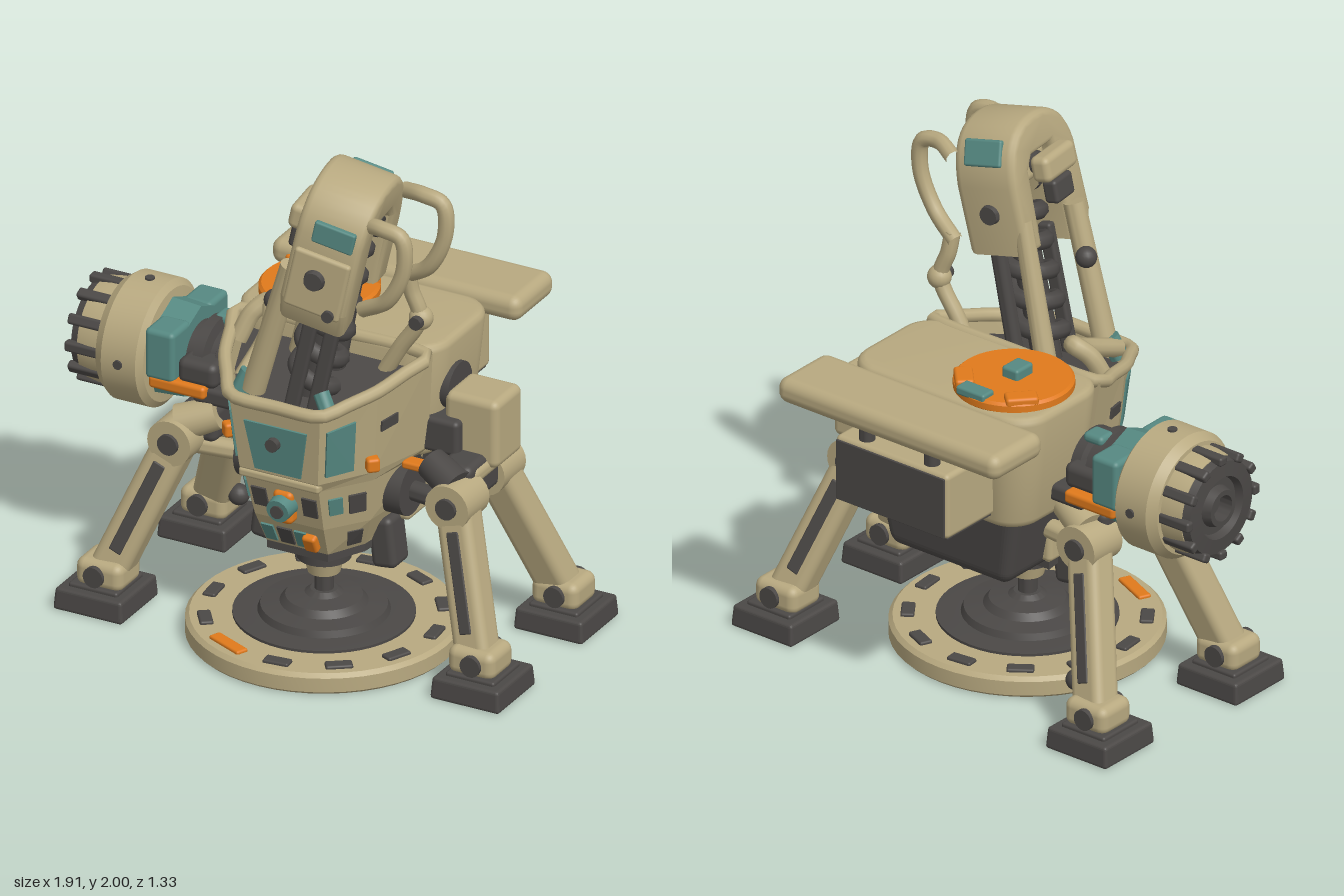
import * as THREE from 'three';
import { toCreasedNormals } from 'three/addons/utils/BufferGeometryUtils.js';
import { RoundedBoxGeometry } from 'three/addons/geometries/RoundedBoxGeometry.js';
import { ConvexGeometry } from 'three/addons/geometries/ConvexGeometry.js';

const V = (x, y, z) => new THREE.Vector3(x, y, z);
const material = (name, color, side = THREE.FrontSide) => {
  const m = new THREE.MeshStandardMaterial({ color, side });
  m.name = name;
  return m;
};

export function createModel() {
  const cream = material('cream', 0xb8a980), dark = material('charcoal', 0x4b4846);
  const teal = material('teal', 0x568982), orange = material('orange', 0xe07a1c);
  const shell = material('cream shell', 0xb8a980, THREE.DoubleSide);
  const root = new THREE.Group();
  root.name = 'walkingMachine';

  // Helpers
  const add = (name, geo, mat, parent = root) => {
    const m = new THREE.Mesh(geo, mat);
    m.name = name;
    parent.add(m);
    return m;
  };
  const box = (name, mat, p, s, r = 0.02, parent = root) => {
    const m = add(name, new RoundedBoxGeometry(...s, 3, Math.min(r, Math.min(...s) * 0.45)), mat, parent);
    m.position.set(...p);
    return m;
  };
  const rod = (name, mat, a, b, r0, r1 = r0, parent = root, seg = 24) => {
    const A = V(...a), d = V(...b).sub(A);
    const geo = toCreasedNormals(new THREE.CylinderGeometry(r1, r0, d.length(), seg), 0.6);
    const m = add(name, geo, mat, parent);
    m.position.copy(A).addScaledVector(d, 0.5);
    m.quaternion.setFromUnitVectors(V(0, 1, 0), d.normalize());
    return m;
  };
  const ball = (name, mat, p, r, parent = root) => {
    add(name, new THREE.SphereGeometry(r, 18, 12), mat, parent).position.set(...p);
  };
  const tube = (name, mat, pts, r, parent = root, closed = false) => add(name,
    new THREE.TubeGeometry(new THREE.CatmullRomCurve3(pts.map(p => V(...p)), closed, 'centripetal'), 48, r, 10, closed), mat, parent);
  const lathe = (name, mat, profile, parent = root) => add(name,
    toCreasedNormals(new THREE.LatheGeometry(profile.map(p => new THREE.Vector2(...p)), 48), 0.5), mat, parent);
  // Narrows a geometry towards its bottom, by kx and kz
  const taper = (geo, h, kx, kz) => {
    const p = geo.attributes.position;
    for (let i = 0; i < p.count; i++) {
      const t = 0.5 - p.getY(i) / h;
      p.setX(i, p.getX(i) * (1 - (1 - kx) * t));
      p.setZ(i, p.getZ(i) * (1 - (1 - kz) * t));
    }
    geo.computeVertexNormals();
    return geo;
  };
  // Upright block with rounded plan corners and a small bevel
  const roundedBlock = (w, h, d, r, bevel) => {
    const x = w / 2 - bevel, y = d / 2 - bevel, s = new THREE.Shape();
    s.absarc(x - r, y - r, r, 0, Math.PI / 2);
    s.absarc(r - x, y - r, r, Math.PI / 2, Math.PI);
    s.absarc(r - x, r - y, r, Math.PI, Math.PI * 1.5);
    s.absarc(x - r, r - y, r, Math.PI * 1.5, Math.PI * 2);
    return new THREE.ExtrudeGeometry(s, { depth: h - 2 * bevel, bevelSize: bevel, bevelThickness: bevel, bevelSegments: 3, curveSegments: 8 })
      .rotateX(-Math.PI / 2).translate(0, bevel - h / 2, 0);
  };

  // Round base plate with stepped hub and inlays
  const base = new THREE.Group();
  base.name = 'basePlate';
  base.position.set(0.09, 0, 0.16);
  root.add(base);
  lathe('disc', cream, [[0, 0], [0.49, 0], [0.5, 0.01], [0.5, 0.065], [0.485, 0.08], [0, 0.08]], base);
  lathe('hub', dark, [[0.33, 0.078], [0.33, 0.09], [0.27, 0.095], [0.24, 0.095], [0.23, 0.12], [0.16, 0.13],
    [0.14, 0.155], [0.07, 0.165], [0.05, 0.18], [0, 0.18]], base);
  for (let i = 0; i < 12; i++) {
    const a = i * Math.PI / 6 + 0.1;
    const plate = box('inlay', i === 11 ? orange : dark, [0.43 * Math.sin(a), 0.082, 0.43 * Math.cos(a)],
      [i === 11 ? 0.17 : 0.1, 0.02, 0.05], 0.008, base);
    plate.rotation.y = a;
  }
  rod('pivotPost', dark, [0, 0.16, 0], [0, 0.26, 0], 0.035, 0.035, base);
  rod('pivotCollar', cream, [0, 0.25, 0], [0, 0.31, 0], 0.06, 0.075, base);
  rod('pivotDrum', dark, [0, 0.31, 0], [0, 0.45, 0], 0.1, 0.11, base);

  // Faceted front hull, lofted from six-sided rings: y, half-widths at front, side, back, then z at front, side, back
  const cx = 0.09;
  const rings = [[0.43, 0.125, 0.2, 0.23, 0.36, 0.22, 0], [0.56, 0.14, 0.25, 0.28, 0.42, 0.27, 0], [0.74, 0.15, 0.275, 0.33, 0.475, 0.3, 0.02],
    [0.78, 0.16, 0.285, 0.36, 0.5, 0.31, 0.04], [1.07, 0.185, 0.315, 0.4, 0.53, 0.33, 0.08]].map(([y, f, w, b, zf, zs, zb], n) => {
    const up = n === 4 ? [0, 0.05, 0.11] : [0, 0, 0];
    const half = [[f, y + up[0], zf], [w, y + up[1], zs], [b, y + up[2], zb]];
    return [...half, ...half.slice().reverse().map(([px, py, pz]) => [-px, py, pz])].map(([px, py, pz]) => V(cx + px, py, pz));
  });
  const hullPts = [];
  for (let i = 0; i < 4; i++) for (let k = 0; k < 6; k++) {
    const a = rings[i][k], b = rings[i][(k + 1) % 6], c = rings[i + 1][(k + 1) % 6], d = rings[i + 1][k];
    hullPts.push(a, b, c, a, c, d);
  }
  const hull = new THREE.BufferGeometry().setFromPoints(hullPts);
  hull.computeVertexNormals();
  add('frontHull', hull, shell);
  add('hullFloor', new ConvexGeometry([...rings[0], ...rings[0].map(p => p.clone().setY(0.40))]), dark);
  add('cockpitFloor', new ConvexGeometry([...rings[4], ...rings[3]].map(p =>
    V(cx + (p.x - cx) * 0.9, p.y > 1 ? p.y - 0.06 : 0.9, p.z * 0.94))), dark);
  tube('cockpitRim', cream, rings[4].map(p => [p.x, p.y, p.z]).flatMap((p, i, l) => {
    const q = l[(i + 1) % 6];
    return [0.08, 0.5, 0.92].map(t => p.map((v, j) => v + (q[j] - v) * t));
  }), 0.025, root, true);

  // Thin plate laid on hull face k of band i, between fractions u and v
  const panel = (name, mat, i, k, u0, u1, v0, v1, inset = 0) => {
    const [a, b, d, c] = [rings[i][k], rings[i][(k + 1) % 6], rings[i + 1][k], rings[i + 1][(k + 1) % 6]];
    const at = (u, v) => a.clone().lerp(b, u).lerp(d.clone().lerp(c, u), v);
    const q = [at(u0 + inset, v0), at(u1 - inset, v0), at(u1, v1), at(u0, v1)];
    const n = q[1].clone().sub(q[0]).cross(q[3].clone().sub(q[0])).normalize();
    add(name, new ConvexGeometry(q.flatMap(p => [p.clone().addScaledVector(n, -0.001), p.clone().addScaledVector(n, 0.008)])), mat);
  };
  panel('frontWindow', teal, 3, 5, 0.14, 0.86, 0.05, 0.72, 0.07);
  for (const side of [0, 1]) {
    const p = (name, mat, i, k, u0, u1, v0, v1) => side
      ? panel(name, mat, i, 4 - k, 1 - u1, 1 - u0, v0, v1) : panel(name, mat, i, k, u0, u1, v0, v1);
    p('sideWindow', teal, 3, 0, 0.12, 0.62, 0.1, 0.74);
    p('sideSlit', dark, 3, 1, 0.08, 0.38, 0.48, 0.6);
    p('hullVent', teal, 1, 0, 0.15, 0.42, 0.35, 0.75);
    p('hullVent', dark, 1, 0, 0.55, 0.88, 0.3, 0.75);
    p('chinVent', dark, 0, 0, 0.5, 0.85, 0.2, 0.75);
    const s = side ? -1 : 1;
    box('orangeMarker', orange, [cx + s * 0.285, 0.825, 0.325], [0.05, 0.055, 0.07], 0.012).rotation.y = s * 0.75;
  }
  [[0.04, 0.22, teal], [0.28, 0.5, dark], [0.54, 0.72, teal]].forEach(([a, b, m]) => panel('chinLamp', m, 0, 5, a, b, 0.15, 0.7));
  box('chinMarker', orange, [0.165, 0.485, 0.385], [0.055, 0.075, 0.055], 0.012).rotation.x = 0.45;
  panel('lowerVent', dark, 1, 5, 0.05, 0.25, 0.3, 0.75);
  panel('lowerVent', dark, 1, 5, 0.75, 0.95, 0.3, 0.75);
  box('hullSeam', cream, [cx, 0.76, 0.485], [0.33, 0.035, 0.04], 0.012);
  rod('windowBolt', dark, [0.085, 0.92, 0.5], [0.085, 0.92, 0.55], 0.025);
  box('lampMount', orange, [0.09, 0.64, 0.45], [0.08, 0.13, 0.06]);
  rod('lamp', teal, [0.09, 0.65, 0.44], [0.09, 0.64, 0.51], 0.05, 0.045);
  rod('lampLens', dark, [0.09, 0.64, 0.5], [0.09, 0.64, 0.52], 0.025);

  // Rear body, belly, storage box and back shelf
  const body = add('rearBody', toCreasedNormals(taper(roundedBlock(0.85, 0.46, 0.48, 0.1, 0.03), 0.46, 0.88, 0.94), 0.6), cream);
  body.position.set(0.085, 0.965, -0.14);
  const belly = add('belly', taper(new RoundedBoxGeometry(0.68, 0.34, 0.46, 4, 0.05), 0.34, 0.8, 0.86), dark);
  belly.position.set(cx, 0.63, -0.1);
  box('bellyMount', dark, [cx, 0.43, 0.03], [0.2, 0.18, 0.13], 0.03);
  box('storageBox', cream, [0.08, 0.915, -0.49], [0.52, 0.26, 0.28], 0.02);
  box('storageBack', dark, [0.08, 0.912, -0.632], [0.5, 0.24, 0.009], 0.003);
  box('storageBottom', dark, [0.08, 0.784, -0.49], [0.5, 0.009, 0.25], 0.003);
  box('backShelf', cream, [0.077, 1.16, -0.525], [1.02, 0.1, 0.285], 0.042);
  for (const s of [-1, 1]) {
    rod('shelfPost', dark, [0.08 + s * 0.15, 1.03, -0.58], [0.08 + s * 0.15, 1.13, -0.58], 0.03);
    rod('hullDrum', dark, [cx + s * 0.2, 0.64, 0.12], [cx + s * 0.34, 0.64, 0.12], 0.1);
    box('bellyCheek', cream, [cx + s * 0.285, 0.57, 0], [0.06, 0.16, 0.2], 0.02);
    const skid = box('skid', dark, [cx + s * 0.24, 0.42, 0.12], [0.1, 0.2, 0.12], 0.025);
    skid.rotation.z = s * 0.12;
  }

  // Orange hatch
  const hatch = new THREE.Group();
  hatch.name = 'roofHatch';
  hatch.position.set(-0.095, 1.185, -0.145);
  root.add(hatch);
  lathe('hatchLid', orange, [[0, 0], [0.21, 0], [0.22, 0.01], [0.22, 0.035], [0.21, 0.045], [0, 0.045]], hatch);
  box('hatchKnob', teal, [0, 0.055, 0.02], [0.075, 0.06, 0.095], 0.012, hatch);
  box('hatchHinge', teal, [0.03, 0.045, -0.185], [0.13, 0.035, 0.065], 0.01, hatch);
  for (const a of [-0.75, -2.4]) box('hatchClamp', orange, [0.18 * Math.cos(a), 0.045, 0.18 * Math.sin(a)], [0.07, 0.035, 0.12], 0.012, hatch).rotation.y = -a;

  // Side drum, built along +y and turned to point to -x
  const drum = new THREE.Group();
  drum.name = 'sideDrum';
  drum.position.set(-0.2, 0.915, 0);
  drum.rotation.z = Math.PI / 2;
  root.add(drum);
  lathe('drumShaft', dark, [[0.08, -0.1], [0.08, 0.13], [0.13, 0.14], [0.13, 0.18], [0.11, 0.19], [0.11, 0.21], [0.15, 0.22],
    [0.15, 0.26], [0.12, 0.27], [0.12, 0.32]], drum);
  lathe('drumRing', cream, [[0.17, 0.415], [0.215, 0.42], [0.24, 0.44], [0.24, 0.58], [0.215, 0.615], [0.16, 0.62]], drum);
  lathe('drumNose', cream, [[0.2, 0.6], [0.198, 0.655], [0.19, 0.705], [0.15, 0.705]], drum);
  lathe('drumEnd', dark, [[0.188, 0.7], [0.178, 0.735], [0.12, 0.74], [0.11, 0.71], [0.08, 0.71], [0.07, 0.745], [0.05, 0.745], [0.05, 0.69], [0, 0.69]], drum);
  rod('drumCollar', teal, [0, 0.3, 0], [0, 0.43, 0], 0.18, 0.19, drum, 8);
  for (let i = 0; i < 12; i++) {
    const a = i * Math.PI / 6, c = Math.cos(a), s = Math.sin(a);
    box('drumRib', dark, [0.19 * c, 0.675, 0.19 * s], [0.035, 0.15, 0.04], 0.01, drum).rotation.y = -a;
    if (i % 3 === 0) rod('drumBolt', dark, [0.22 * c, 0.51, 0.22 * s], [0.247 * c, 0.51, 0.247 * s], 0.018, 0.018, drum, 12);
  }
  box('drumBracket', orange, [-0.49, 0.86, 0], [0.23, 0.05, 0.42], 0.015);
  box('bracketCover', dark, [-0.42, 0.92, 0.01], [0.16, 0.1, 0.36], 0.03);
  for (const z of [-0.14, 0.14]) {
    box('bracketArm', dark, [-0.31, 0.84, z], [0.26, 0.07, 0.09]);
    box('collarPad', teal, [-0.56, 0.97, z], [0.12, 0.2, 0.14]);
  }
  box('shaftClamp', teal, [-0.41, 1.05, -0.05], [0.09, 0.04, 0.08]);

  // Right shoulder
  rod('shoulderDrum', dark, [0.4, 0.99, -0.08], [0.515, 0.99, -0.08], 0.09);
  box('shoulderBox', cream, [0.61, 0.87, -0.08], [0.22, 0.27, 0.2], 0.03);
  box('shoulderLink', dark, [0.5, 0.84, -0.04], [0.16, 0.14, 0.2]);
  box('shoulderPlate', orange, [0.48, 0.755, 0.14], [0.14, 0.03, 0.06], 0.01);
  box('hipBlock', dark, [0.61, 0.71, 0.01], [0.14, 0.16, 0.28], 0.03);
  box('hipSaddle', cream, [0.61, 0.74, 0.01], [0.16, 0.07, 0.22], 0.03);
  box('leftHipBlock', dark, [-0.42, 0.72, 0.03], [0.15, 0.14, 0.3], 0.03);

  // Four legs: hip point, foot centre
  const legs = { frontRightLeg: [-0.48, 0.67, 0.2, -0.71, 0.33], backRightLeg: [-0.44, 0.67, -0.14, -0.655, -0.345],
    frontLeftLeg: [0.64, 0.67, 0.17, 0.815, 0.3], backLeftLeg: [0.62, 0.67, -0.14, 0.815, -0.325] };
  for (const [name, [hx, hy, hz, fx, fz]] of Object.entries(legs)) {
    const leg = new THREE.Group(), sx = Math.sign(fx), sz = Math.sign(fz);
    leg.name = name;
    root.add(leg);
    const foot = add('foot', taper(new RoundedBoxGeometry(0.27, 0.085, 0.27, 2, 0.012), 0.085, 1.05, 1.05), dark, leg);
    foot.position.set(fx, 0.0425, fz);
    box('footPad', dark, [fx, 0.085, fz], [0.2, 0.03, 0.2], 0.01, leg);
    box('ankle', cream, [fx - sx * 0.01, 0.14, fz], [0.19, 0.11, 0.17], 0.035, leg);
    rod('anklePin', dark, [fx, 0.14, fz - 0.1], [fx, 0.14, fz + 0.1], 0.04, 0.04, leg);
    const hip = V(hx, hy, hz), ankle = V(fx - sx * 0.02, 0.14, fz), y = hip.clone().sub(ankle), len = y.length();
    y.normalize();
    const z = V(0, 0, sz).addScaledVector(y, -sz * y.z).normalize();
    const shin = new THREE.Group();
    shin.name = 'shin';
    shin.position.copy(hip).lerp(ankle, 0.5);
    shin.quaternion.setFromRotationMatrix(new THREE.Matrix4().makeBasis(y.clone().cross(z), y, z));
    leg.add(shin);
    box('strut', cream, [0, 0, 0], [0.145, len + 0.06, 0.125], 0.035, shin);
    box('strutSlot', dark, [0, -0.01, 0.06], [0.05, len * 0.66, 0.015], 0.006, shin);
    rod('hipJoint', cream, [hx, hy, hz - 0.08], [hx, hy, hz + 0.08], 0.088, 0.088, leg);
    rod('hipPin', dark, [hx, hy, hz - 0.095], [hx, hy, hz + 0.095], 0.04, 0.04, leg);
    rod('thigh', sx > 0 ? dark : cream, [hx, hy + 0.05, hz], [hx - sx * 0.13, 0.77, hz * 0.75], 0.07, 0.06, leg);
    rod('hipLink', sx > 0 ? dark : cream, [hx, hy - 0.04, hz * 0.8], [cx + sx * 0.27, 0.63, hz * 0.6], 0.037, 0.037, leg);
  }
  ball('ankleKnob', dark, [-0.51, 0.2, -0.3], 0.04);
  rod('knobArm', cream, [-0.51, 0.2, -0.3], [-0.62, 0.18, -0.3], 0.025);

  // Leaning mast with coil spring and hooded head
  const mast = new THREE.Group();
  mast.name = 'mast';
  mast.position.set(0.12, 1.04, 0.31);
  mast.rotation.set(0, 0.12, -0.21);
  root.add(mast);
  const coil = Array.from({ length: 61 }, (_, i) => {
    const a = i / 60 * Math.PI * 2 * 5.5;
    return V(0.075 * Math.cos(a), 0.06 + i * 0.0107, 0.075 * Math.sin(a));
  });
  add('spring', new THREE.TubeGeometry(new THREE.CatmullRomCurve3(coil), 200, 0.034, 8), dark, mast);
  rod('springCore', dark, [0, -0.08, 0], [0, 0.85, 0], 0.055, 0.055, mast);
  for (const x of [-0.03, 0.055]) box('mastRail', dark, [x, 0.22, 0.105], [0.055, 0.55, 0.04], 0.012, mast);
  rod('rearRod', dark, [0.04, -0.05, -0.13], [0.02, 0.72, -0.13], 0.03, 0.03, mast);
  const hood = new THREE.Shape();
  hood.moveTo(-0.14, 0.5);
  hood.lineTo(-0.15, 0.74);
  hood.bezierCurveTo(-0.14, 0.88, -0.08, 0.935, 0.02, 0.935);
  hood.bezierCurveTo(0.12, 0.935, 0.2, 0.89, 0.22, 0.77);
  [[0.235, 0.5], [0.2, 0.42], [0.15, 0.44], [0.14, 0.78], [0.115, 0.84], [-0.04, 0.84], [-0.085, 0.78], [-0.09, 0.5]].forEach(p => hood.lineTo(...p));
  const hoodGeo = new THREE.ExtrudeGeometry(hood, { depth: 0.2, bevelSize: 0.025, bevelThickness: 0.03, bevelSegments: 3, curveSegments: 10 });
  hoodGeo.rotateY(-Math.PI / 2).translate(0.1, 0, 0);
  add('headHood', toCreasedNormals(hoodGeo, 0.6), cream, mast);
  box('headCore', cream, [0, 0.77, 0.02], [0.2, 0.12, 0.15], 0.03, mast);
  box('faceWindow', teal, [0.02, 0.795, 0.245], [0.16, 0.085, 0.025], 0.008, mast);
  box('facePlate', cream, [0, 0.59, 0.25], [0.22, 0.24, 0.03], 0.014, mast);
  rod('faceBolt', dark, [-0.01, 0.61, 0.25], [-0.01, 0.61, 0.285], 0.045, 0.035, mast);
  rod('chinBolt', dark, [0.07, 0.49, 0.24], [0.07, 0.49, 0.28], 0.022, 0.022, mast);
  const rearWindow = box('rearWindow', teal, [0, 0.865, -0.137], [0.16, 0.1, 0.035], 0.01, mast);
  rearWindow.rotation.x = 0.42;
  rod('rearBolt', dark, [0, 0.64, -0.16], [0, 0.64, -0.19], 0.04, 0.035, mast);
  for (const s of [-1, 1]) rod('hoodPin', dark, [s * 0.09, 0.77, 0.02], [s * 0.12, 0.77, 0.02], 0.045, 0.04, mast);
  box('cheekPod', cream, [-0.15, 0.76, 0.06], [0.08, 0.1, 0.2], 0.025, mast);
  box('cheekClip', dark, [-0.15, 0.66, 0.06], [0.06, 0.09, 0.12], 0.015, mast);

  // Handles, support rods and cockpit trim
  for (const z of [0.47, 0.16]) {
    tube('handle', cream, [[0.4, 1.84, z - 0.04], [0.5, 1.86, z], [0.575, 1.84, z], [0.585, 1.72, z], [0.52, 1.58, z], [0.4, 1.5, z - 0.03]], 0.03);
  }
  tube('rightSupport', cream, [[0.42, 1.53, 0.14], [0.43, 1.45, 0.13], [0.46, 1.34, 0.12], [0.38, 1.2, 0.12], [0.3, 1.06, 0.12]], 0.03);
  ball('supportJoint', cream, [0.465, 1.34, 0.12], 0.045);
  rod('supportPin', dark, [0.47, 1.34, 0.1], [0.47, 1.34, 0.18], 0.025);
  rod('leftSupport', cream, [-0.04, 1.08, 0.45], [0.12, 1.62, 0.46], 0.045, 0.04);
  rod('leftRearSupport', cream, [-0.02, 1.1, 0.14], [0.13, 1.65, 0.18], 0.04, 0.035);
  ball('leftJoint', dark, [0.03, 1.44, 0.42], 0.04);
  tube('leftRail', cream, [[-0.24, 1.12, 0.2], [-0.2, 1.22, 0.16], [-0.15, 1.26, 0.13], [-0.1, 1.2, 0.22], [-0.09, 1.1, 0.45]], 0.035);
  rod('leftLever', teal, [-0.09, 1.06, 0.46], [-0.06, 1.14, 0.44], 0.035);
  rod('rightLever', teal, [0.26, 1.05, 0.44], [0.22, 1.11, 0.42], 0.03);
  return root;
}
